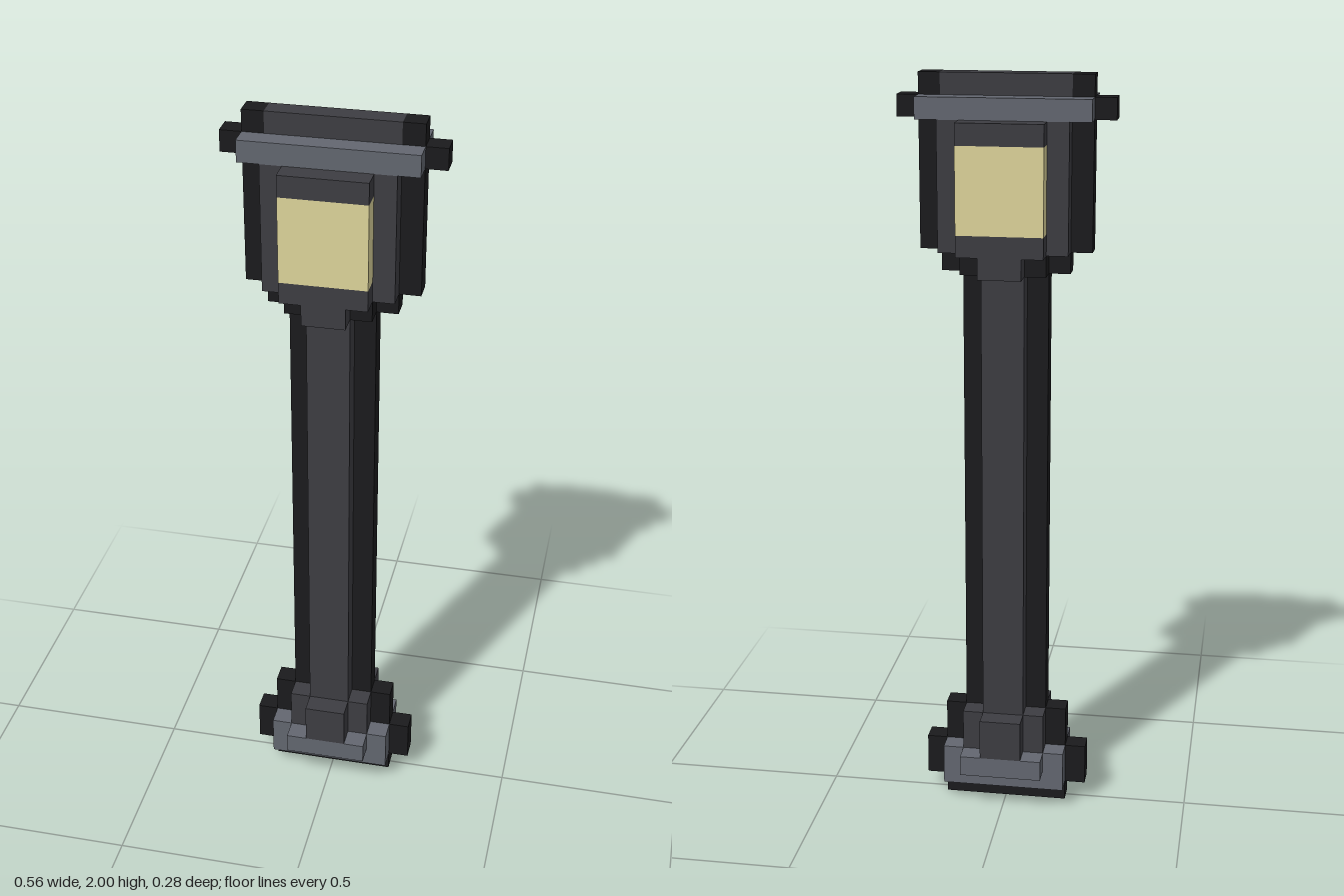
import * as THREE from 'three';

const U = 2 / 36; // one block
const mat = (color) => new THREE.MeshStandardMaterial({ color, flatShading: true });

export function createModel() {
  const group = new THREE.Group();
  group.name = 'streetLamp';
  const black = mat(0x1b1b1d), grey = mat(0x3d3d42), slate = mat(0x636770), glow = mat(0xded59b);

  // Box from x0..x1, y0..y1 (in blocks), one block thick at depth layer z
  const block = (name, x0, x1, y0, y1, z, material) => {
    const mesh = new THREE.Mesh(new THREE.BoxGeometry((x1 - x0) * U, (y1 - y0) * U, U), material);
    mesh.position.set((x0 + x1) / 2 * U, (y0 + y1) / 2 * U, z * U);
    mesh.name = name;
    group.add(mesh);
  };

  // Dark core: [name, half width, bottom, top]
  const core = [
    ['baseSole', 3, 0, 1],
    ['basePlinth', 4, 1, 3],
    ['baseCollar', 3, 3, 5],
    ['postCore', 2, 5, 27],
    ['headNeck', 3, 27, 28],
    ['headCore', 4, 28, 34],
    ['brimCore', 5, 34, 35],
  ];
  for (const [name, w, y0, y1] of core) block(name, -w, w, y0, y1, 0, black);

  // Cap ridge with dark ends
  block('capRidge', -3, 3, 35, 36, 0, grey);
  for (const x of [-4, 3]) block('capEnd', x, x + 1, 35, 36, 0, black);

  // Layers mirrored front and back: [name, half width, bottom, top, depth layer, material]
  const layers = [
    ['plinthFace', 3, 1, 3, 1, slate],
    ['collarFace', 2, 3, 5, 1, grey],
    ['postFace', 1, 5, 27, 1, grey],
    ['neckFace', 2, 27, 28, 1, black],
    ['headFace', 3, 28, 34, 1, grey],
    ['brimFace', 4, 34, 35, 1, slate],
    ['plinthStep', 2, 2, 3, 2, slate],
    ['collarStep', 1, 3, 5, 2, grey],
    ['neckStep', 1, 27, 28, 2, grey],
    ['windowSill', 2, 28, 29, 2, grey],
    ['window', 2, 29, 33, 2, glow],
    ['windowLintel', 2, 33, 34, 2, grey],
  ];
  for (const [name, w, y0, y1, z, material] of layers)
    for (const side of [1, -1]) block(name, -w, w, y0, y1, side * z, material);

  return group;
}
